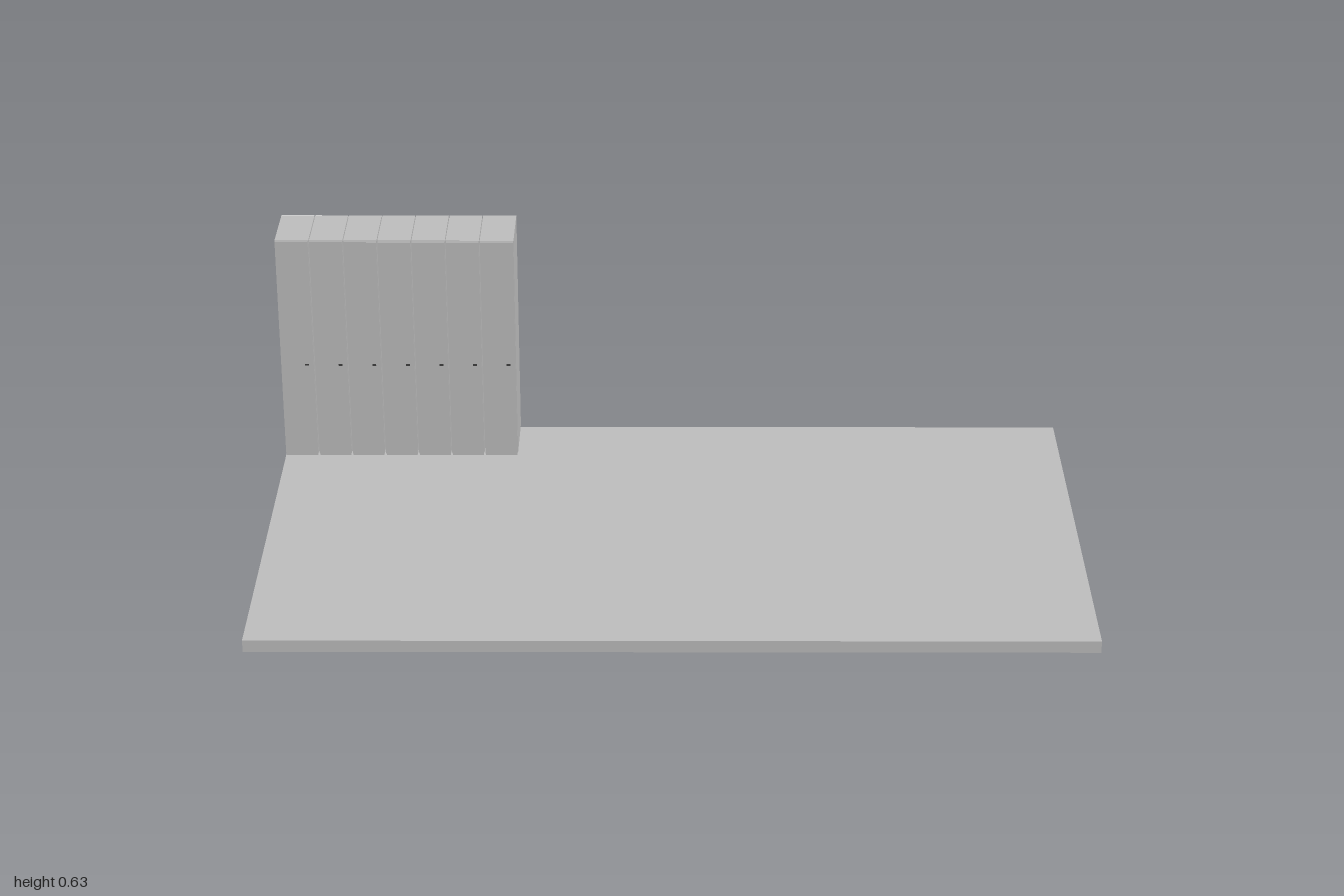
import * as THREE from 'three';

export function createModel() {
  const model = new THREE.Group();
  const material = (name, color) => {
    const m = new THREE.MeshStandardMaterial({ color });
    m.name = name;
    return m;
  };
  const grey = material('grey', 0xbfbfbf);
  const paleGrey = material('pale grey', 0xdfdfdf);
  const darkGrey = material('dark grey', 0x404040);

  // Box given by its lower and upper corners
  function addBox(parent, name, mat, [x0, y0, z0], [x1, y1, z1]) {
    const mesh = new THREE.Mesh(new THREE.BoxGeometry(x1 - x0, y1 - y0, z1 - z0), mat);
    mesh.position.set((x0 + x1) / 2, (y0 + y1) / 2, (z0 + z1) / 2);
    mesh.name = name;
    parent.add(mesh);
  }

  // Floor slab
  addBox(model, 'floor', grey, [-1, 0, -0.571], [1, 0.03, 0.571]);

  // Row of tall lockers along the back right corner
  const count = 7, width = 0.6 / count, gap = 0.001;
  for (let i = 0; i < count; i++) {
    const locker = new THREE.Group();
    locker.name = 'locker' + (i + 1);
    locker.position.x = -1 + i * width;
    const left = i === 0 ? 0 : gap, right = i === count - 1 ? width : width - gap;
    addBox(locker, 'plinth', grey, [left + 0.002, 0.03, -0.569], [right - 0.002, 0.037, -0.403]);
    addBox(locker, 'cabinet', grey, [left, 0.037, -0.569], [right, 0.63, -0.403]);
    // Pale back panels, except on the end locker
    addBox(locker, 'backPanel', i < count - 1 ? paleGrey : grey, [left, 0.037, -0.571], [right, 0.63, -0.569]);
    addBox(locker, 'door', grey, [left + gap, 0.037, -0.403], [right - gap, 0.628, -0.3975]);
    // Small latch near the opening edge
    addBox(locker, 'latch', darkGrey, [width - 0.024, 0.287, -0.3975], [width - 0.014, 0.292, -0.397]);
    model.add(locker);
  }
  return model;
}
